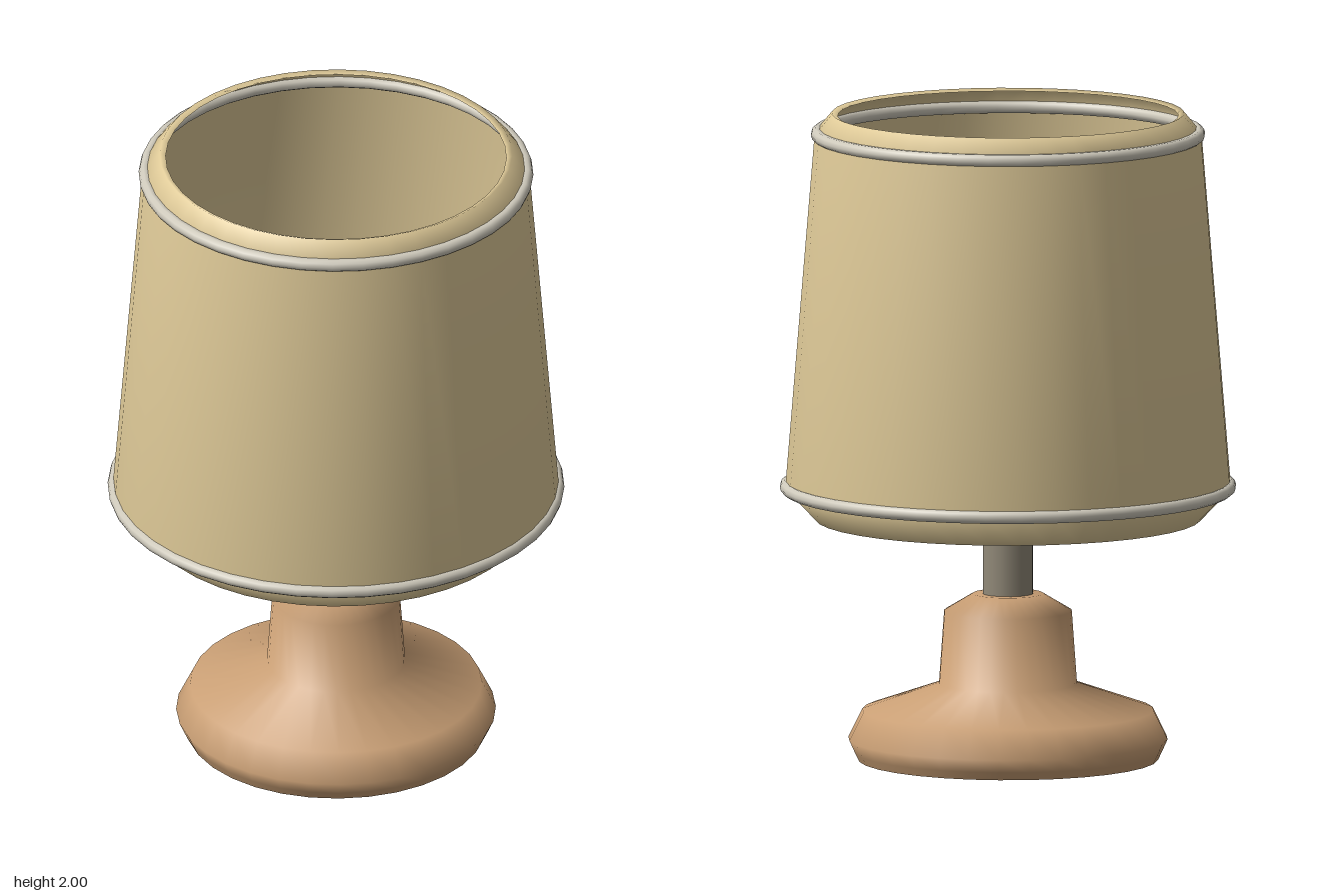
import * as THREE from 'three';

const mat = (name, color, side = THREE.FrontSide) => {
  const m = new THREE.MeshStandardMaterial({ color, side });
  m.name = name;
  return m;
};

export function createModel() {
  const group = new THREE.Group();
  group.name = 'tableLamp';

  const clay = mat('clay', 0xc89e74);
  const metal = mat('greyMetal', 0x928a79);
  const trim = mat('paleTrim', 0xcfcabc);
  const fabric = mat('creamFabric', 0xdfca98, THREE.DoubleSide);

  const add = (name, geometry, material, y = 0) => {
    const mesh = new THREE.Mesh(geometry, material);
    mesh.name = name;
    mesh.position.y = y;
    group.add(mesh);
    return mesh;
  };
  const lathe = (points, segments) =>
    new THREE.LatheGeometry(points.map(([r, y]) => new THREE.Vector2(r, y)), segments);

  // Turned foot and stem, with a flat underside
  add('base', lathe([
    [0.46, 0], [0.472, 0.025], [0.49, 0.065], [0.447, 0.153],
    [0.212, 0.235], [0.196, 0.46], [0.108, 0.513], [0, 0.513],
  ], 32), clay);
  add('baseUnderside', new THREE.CircleGeometry(0.46, 32).rotateX(Math.PI / 2), clay);

  // Pole rising into the shade
  add('pole', new THREE.CylinderGeometry(0.078, 0.078, 0.52, 16), metal, 0.75);

  // Open shade with turned-in lips
  add('shade', lathe([
    [0.592, 0.745], [0.684, 0.842], [0.594, 1.935], [0.54, 2], [0.522, 1.992],
  ], 40), fabric);

  // Piping around both shade edges
  for (const [name, radius, y] of [['lowerTrim', 0.68, 0.845], ['upperTrim', 0.585, 1.935]]) {
    add(name, new THREE.TorusGeometry(radius, 0.02, 10, 40).rotateX(Math.PI / 2), trim, y);
  }

  return group;
}
